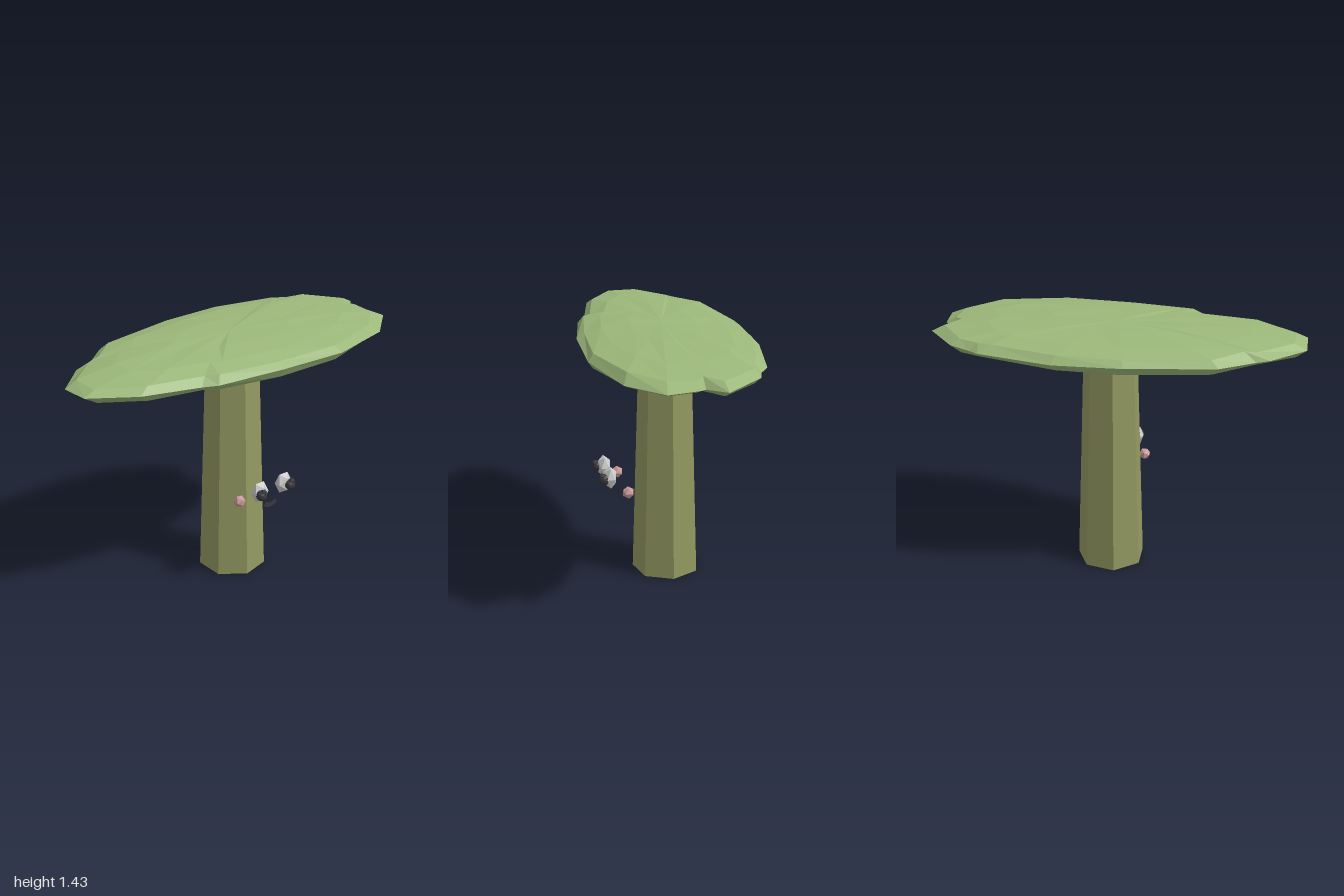
import * as THREE from 'three';

const paint = (color, side = THREE.FrontSide) =>
  new THREE.MeshStandardMaterial({ color, flatShading: true, side });

const LEAF = paint(0x9cb87a), BARK = paint(0x949a62), WHITE = paint(0xcccccc);
const DARK = paint(0x3a3a3e, THREE.DoubleSide), PINK = paint(0xc99a9a);

// Flat canopy: one irregular outline (x, z), scaled into rings from pole to pole
function canopyGeometry() {
  const outline = [
    [-1, -0.06], [-0.82, -0.23], [-0.75, -0.245], [-0.57, -0.385], [-0.1, -0.47], [0.27, -0.465],
    [0.67, -0.38], [0.73, -0.33], [0.84, -0.295], [1, -0.09], [0.91, 0.0], [0.955, 0.035],
    [0.97, 0.2], [0.77, 0.365], [0.38, 0.465], [-0.02, 0.455], [-0.39, 0.385], [-0.46, 0.34],
    [-0.78, 0.265], [-1, 0.11],
  ];
  let seed = 11;
  const noise = () => ((seed = (seed * 16807) % 2147483647) / 2147483647 - 0.5);
  const n = outline.length, rings = 8, pos = [], index = [];
  for (let k = 0; k <= rings; k++) {
    const a = (k / rings - 0.5) * Math.PI;
    const s = Math.max(0, Math.cos(a)), h = Math.sin(a);
    const pole = k === 0 || k === rings, rim = k === rings / 2;
    const y = 1.345 + Math.sign(h) * Math.pow(Math.abs(h), 0.85) * 0.085;
    for (const [x, z] of outline) {
      const wobble = pole ? 0 : 1;
      const scale = pole ? 0 : rim ? 1 : s * (1 + 0.05 * noise());
      pos.push(x * scale, y + wobble * (rim ? 0.022 : 0.009) * noise(), z * scale);
    }
  }
  for (let k = 0; k < rings; k++) {
    for (let i = 0; i < n; i++) {
      const j = (i + 1) % n;
      const a = k * n + i, b = k * n + j, c = b + n, d = a + n;
      if (k < rings - 1) index.push(a, d, c);
      if (k > 0) index.push(a, c, b);
    }
  }
  const g = new THREE.BufferGeometry();
  g.setAttribute('position', new THREE.Float32BufferAttribute(pos, 3));
  g.setIndex(index);
  g.computeVertexNormals();
  return g;
}

export function createModel() {
  const model = new THREE.Group();
  const add = (name, geometry, material, x = 0, y = 0, z = 0) => {
    const mesh = new THREE.Mesh(geometry, material);
    mesh.name = name;
    mesh.position.set(x, y, z);
    model.add(mesh);
    return mesh;
  };
  const cx = 0.035;

  // Tapered seven-sided trunk, one corner pointing to +x
  const trunk = new THREE.CylinderGeometry(0.148, 0.19, 1.3, 7).rotateY(Math.PI / 2);
  add('trunk', trunk, BARK, cx, 0.65, -0.02);
  add('canopy', canopyGeometry(), LEAF);

  // Face floating ahead of the trunk
  for (const [side, s] of [['left', 1], ['right', -1]]) {
    const eye = add(side + 'Eye', new THREE.IcosahedronGeometry(0.065), WHITE, cx + s * 0.086, 0.605, 0.314);
    eye.scale.set(0.82, 1, 0.6);
    const px = cx + s * 0.102;
    add(side + 'Pupil', new THREE.IcosahedronGeometry(0.031, 1), DARK, px, 0.602, 0.347);
    add(side + 'PupilGlint', new THREE.IcosahedronGeometry(0.017), DARK, px + 0.004, 0.625, 0.362);
    add(side + 'Cheek', new THREE.IcosahedronGeometry(0.034), PINK, cx + s * 0.154, 0.535, 0.227);
  }

  // Flat smiling strip
  const smile = new THREE.RingGeometry(0.042, 0.07, 5, 1, Math.PI * 1.25, Math.PI / 2);
  add('mouth', smile, DARK, cx + 0.002, 0.55, 0.305);

  return model;
}
